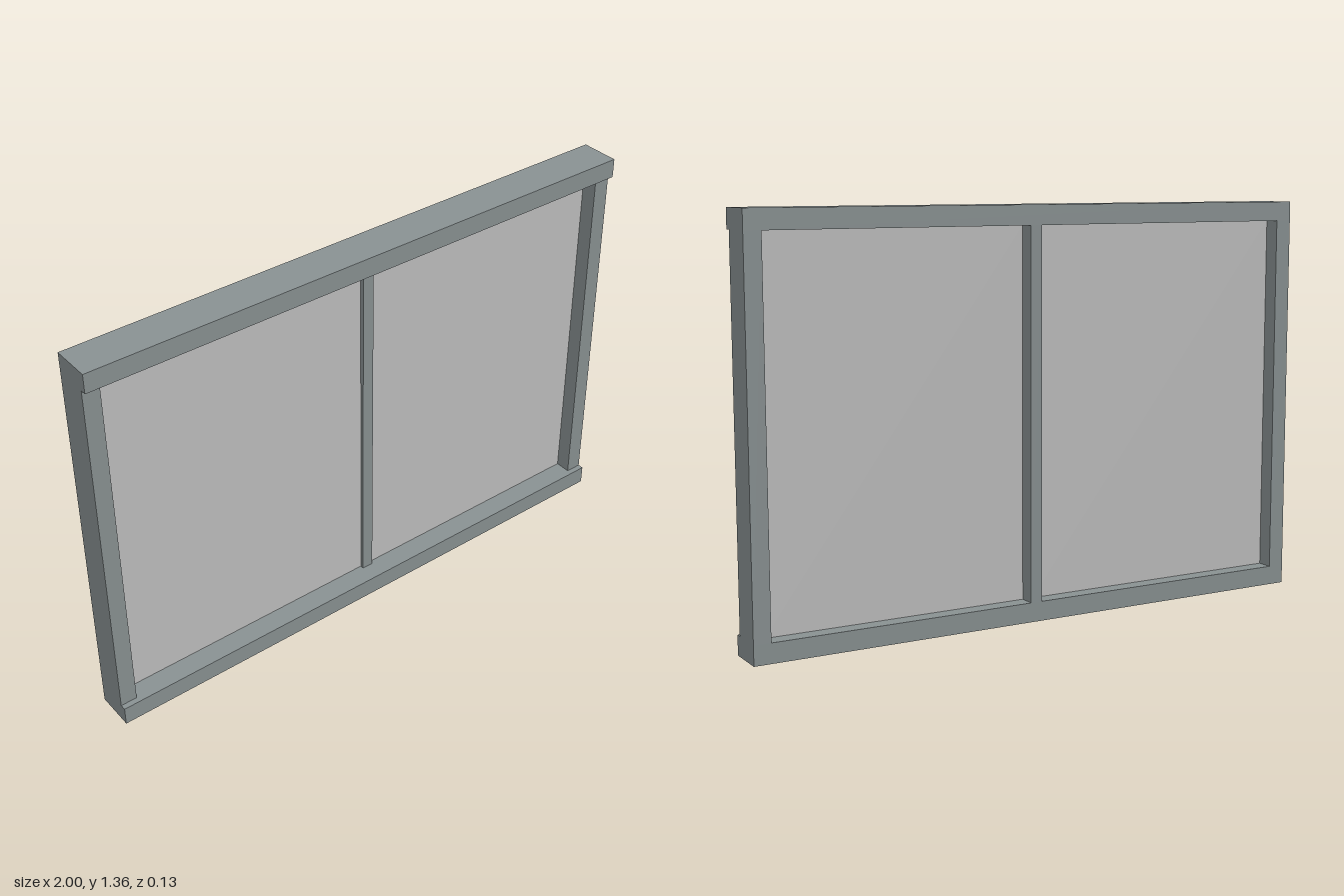
import * as THREE from 'three';

export function createModel() {
  const group = new THREE.Group();
  group.name = 'slidingWindow';

  const frame = new THREE.MeshStandardMaterial({ color: 0x899192 });
  frame.name = 'grey frame';
  const glass = new THREE.MeshStandardMaterial({ color: 0xbebebe });
  glass.name = 'pale glass';

  const H = 1.355;      // overall height
  const RAIL = 0.065;   // rail height
  const STILE = 0.057;  // stile width
  const BACK = -0.067;  // common back plane

  // Box given by its limits on each axis
  function block(name, material, [x0, x1], [y0, y1], [z0, z1]) {
    const mesh = new THREE.Mesh(new THREE.BoxGeometry(x1 - x0, y1 - y0, z1 - z0), material);
    mesh.position.set((x0 + x1) / 2, (y0 + y1) / 2, (z0 + z1) / 2);
    mesh.name = name;
    group.add(mesh);
  }

  const opening = [RAIL, H - RAIL];

  // Rails project slightly in front of the stiles
  block('bottomRail', frame, [-1, 1], [0, RAIL], [BACK, 0.067]);
  block('topRail', frame, [-1, 1], [H - RAIL, H], [BACK, 0.067]);

  // Side stiles
  block('rightStile', frame, [-1, -1 + STILE], opening, [BACK, 0.047]);
  block('leftStile', frame, [1 - STILE, 1], opening, [BACK, 0.047]);

  // Slim middle bar, flush with the back
  const bar = [0.003, 0.043];
  block('middleBar', frame, bar, opening, [BACK, 0.005]);

  // Thin panes on either side of the bar
  block('rightPane', glass, [-1 + STILE, bar[0]], opening, [-0.012, -0.008]);
  block('leftPane', glass, [bar[1], 1 - STILE], opening, [-0.012, -0.008]);

  return group;
}
